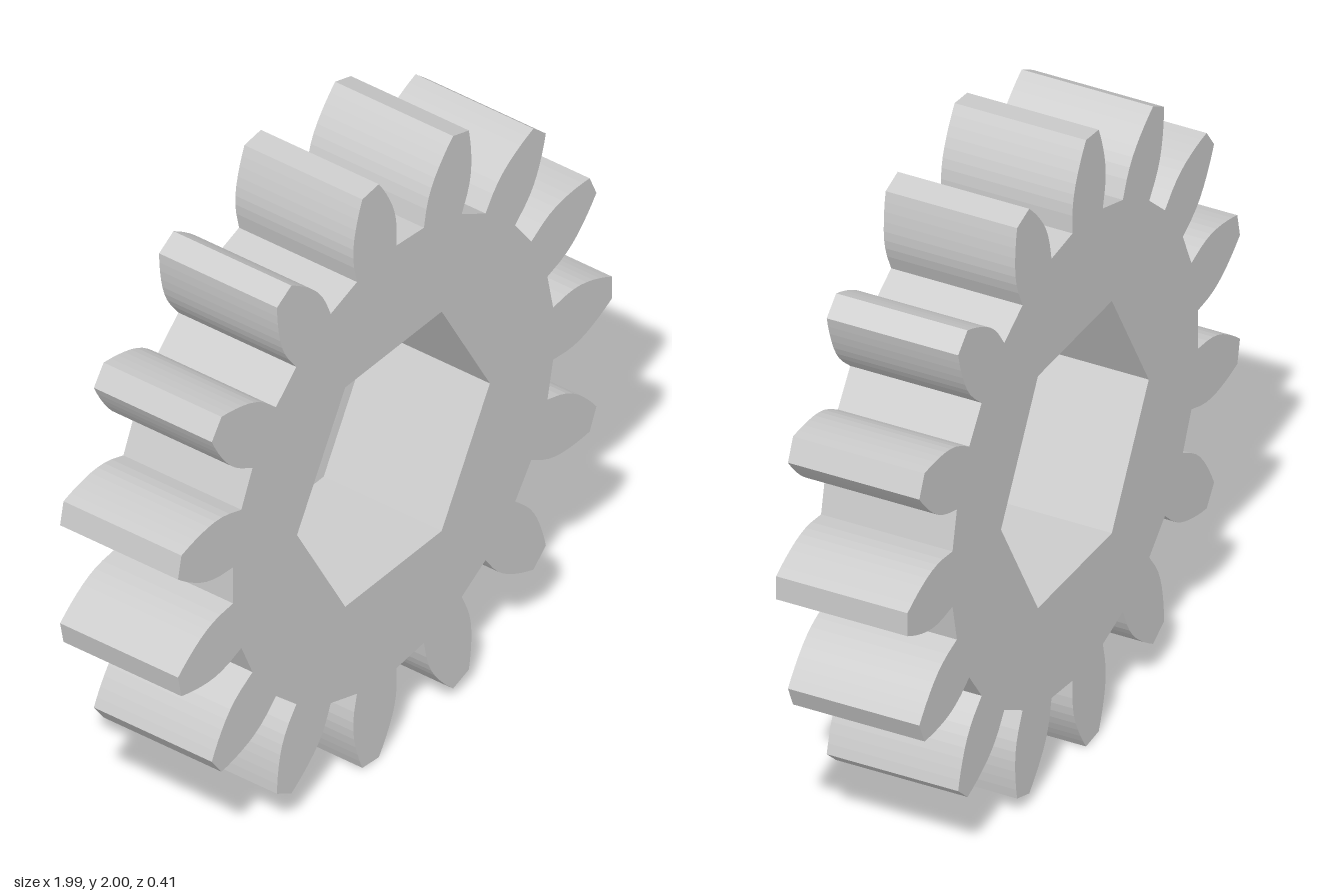
import * as THREE from 'three';

const TEETH = 15;
const DEPTH = 0.414;
const BORE_RADIUS = 0.442;

// One tooth flank, root to tip: distance along the tooth axis, half width.
// Radial at the root, then an involute-like curve.
const FLANK = [
  [0.732, 0.091], [0.79, 0.098], [0.825, 0.0985], [0.855, 0.095], [0.885, 0.088],
  [0.915, 0.078], [0.945, 0.066], [0.973, 0.053], [1.0015, 0.038],
];

function gearOutline() {
  const tooth = [
    ...FLANK.map(([r, w]) => new THREE.Vector2(r, -w)),
    ...FLANK.map(([r, w]) => new THREE.Vector2(r, w)).reverse(),
  ];
  const origin = new THREE.Vector2();
  const points = [];
  for (let i = 0; i < TEETH; i++) {
    const angle = (i / TEETH) * Math.PI * 2;
    for (const p of tooth) points.push(p.clone().rotateAround(origin, angle));
  }
  return new THREE.Shape(points);
}

function hexagon(radius) {
  const points = [];
  for (let i = 0; i < 6; i++) {
    const a = (-i / 6) * Math.PI * 2;
    points.push(new THREE.Vector2(radius * Math.cos(a), radius * Math.sin(a)));
  }
  return new THREE.Path(points);
}

export function createModel() {
  const group = new THREE.Group();
  group.name = 'spurGear';

  // Toothed wheel with a hexagonal bore
  const shape = gearOutline();
  shape.holes.push(hexagon(BORE_RADIUS));
  const geometry = new THREE.ExtrudeGeometry(shape, { depth: DEPTH, bevelEnabled: false });
  geometry.translate(0, 0, -DEPTH / 2);

  const wheel = new THREE.Mesh(
    geometry,
    new THREE.MeshStandardMaterial({ color: 0xcccccc, flatShading: true })
  );
  wheel.name = 'toothedWheel';

  // The odd tooth count makes the outline slightly off-centre in x
  wheel.position.set(-0.007, 1, 0);
  group.add(wheel);
  return group;
}
